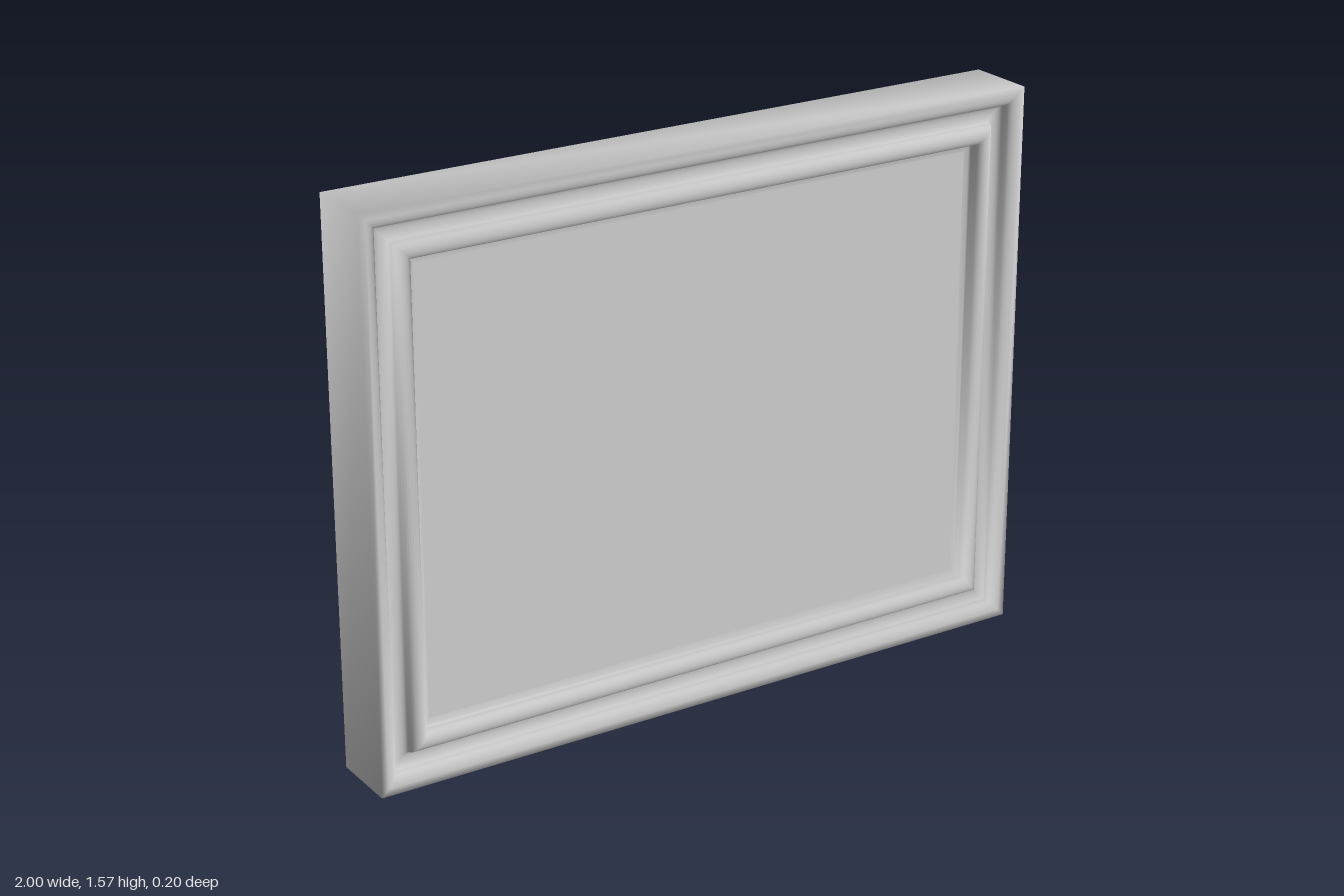
import * as THREE from 'three';

const W = 1;        // half width
const H = 0.7825;   // half height
const PANEL_INSET = 0.165, PANEL_Z = 0.057;

// Points on an elliptical arc as [inset from the outer edge, z]; angle 0 points inward
function arc(inset, z, rInset, rZ, from, to, steps) {
  return Array.from({ length: steps + 1 }, (_, i) => {
    const a = THREE.MathUtils.degToRad(from + (to - from) * i / steps);
    return [inset + rInset * Math.cos(a), z + rZ * Math.sin(a)];
  });
}

// Moulding section from the outer edge in to the panel
const moulding = [
  [0, 0.1],
  ...arc(0.02, 0.075, 0.03, 0.025, 90, 0, 8),                 // outer bead
  ...arc(0.0725, 0.075, 0.0225, 0.014, 180, 360, 10).slice(1), // cove
  ...arc(0.12, 0.075, 0.025, 0.024, 180, 0, 12).slice(1),     // inner bead
  [0.146, 0.064], [0.151, 0.059], [PANEL_INSET, PANEL_Z],     // fillet to the panel
];

// Mitred frame: the section, front and back, swept round the four corners
function frameGeometry() {
  const front = [...moulding].reverse();
  const section = [...front, ...moulding.map(([p, z]) => [p, -z])];
  const corners = [[-1, -1], [1, -1], [1, 1], [-1, 1]];
  const positions = [], index = [];
  section.forEach(([p, z], i) => {
    corners.forEach(([sx, sy], k) => {
      positions.push(sx * (W - p), sy * (H - p), z);
      if (i === section.length - 1) return;
      const a = i * 4 + k, b = i * 4 + (k + 1) % 4;
      index.push(a, a + 4, b + 4, a, b + 4, b);
    });
  });
  const geometry = new THREE.BufferGeometry();
  geometry.setAttribute('position', new THREE.Float32BufferAttribute(positions, 3));
  geometry.setIndex(index);
  geometry.computeVertexNormals();
  return geometry;
}

export function createModel() {
  const group = new THREE.Group();
  group.name = 'pictureFrame';
  const material = new THREE.MeshStandardMaterial({ color: 0xcccccc });

  const addPart = (name, geometry) => {
    const mesh = new THREE.Mesh(geometry, material);
    mesh.name = name;
    mesh.position.y = H;
    group.add(mesh);
  };

  addPart('frame', frameGeometry());

  // Flat panel, the same on both faces
  addPart('panel', new THREE.BoxGeometry(
    2 * (W - PANEL_INSET), 2 * (H - PANEL_INSET), 2 * PANEL_Z));

  return group;
}
